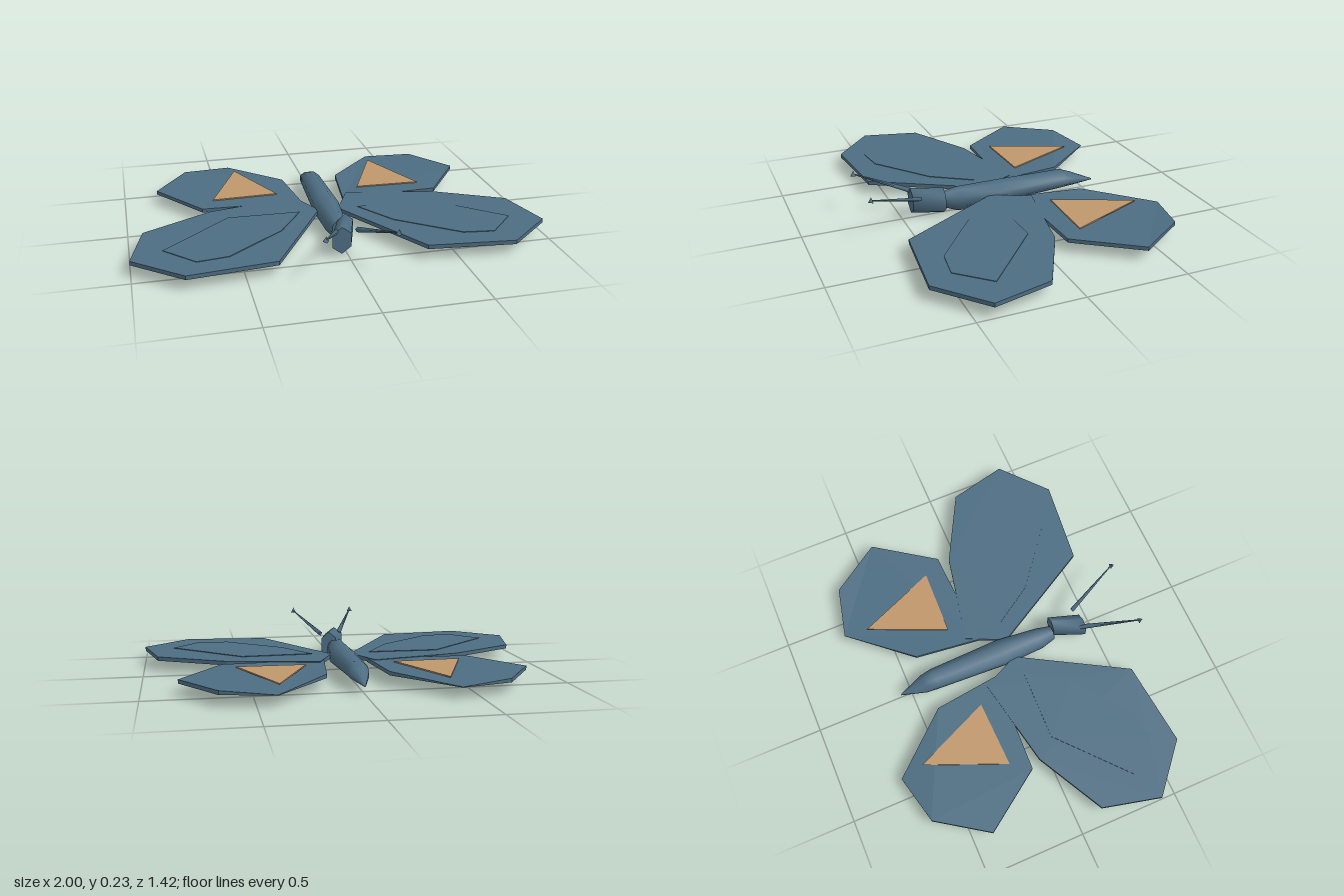
import * as THREE from 'three';

const blue = new THREE.MeshStandardMaterial({ color: 0x4d6d82 });
blue.name = 'slate blue';
const tan = new THREE.MeshStandardMaterial({ color: 0xbf966a });
tan.name = 'tan';

function add(parent, name, geometry, material) {
  const mesh = new THREE.Mesh(geometry, material);
  mesh.name = name;
  parent.add(mesh);
  return mesh;
}

// Flat plate from an [x, z] outline, mirrored by side, with its upper face at y = top
function plate(points, side, top, thickness) {
  const shape = new THREE.Shape(points.map(([x, z]) => new THREE.Vector2(x * side, z)));
  const g = new THREE.ExtrudeGeometry(shape, { depth: thickness, bevelEnabled: false });
  g.rotateX(Math.PI / 2);
  g.translate(0, top, 0);
  return g;
}

// Skin over elliptical rings [z, centreX, bottom, top, halfWidth], ordered front to back
function loft(rings, sides, turn = 0) {
  const pos = [], index = [];
  const ringPoint = ([z, cx, lo, hi, w], j) => {
    const a = turn + (j / sides) * Math.PI * 2;
    return [cx + w * Math.cos(a), (lo + hi) / 2 + ((hi - lo) / 2) * Math.sin(a), z];
  };
  rings.forEach((r) => { for (let j = 0; j < sides; j++) pos.push(...ringPoint(r, j)); });
  for (let i = 0; i < rings.length - 1; i++) {
    for (let j = 0; j < sides; j++) {
      const a = i * sides + j, b = i * sides + ((j + 1) % sides);
      index.push(a, a + sides, b, b, a + sides, b + sides);
    }
  }
  // End caps have their own corners so their rims stay sharp
  [rings[0], rings[rings.length - 1]].forEach((r, end) => {
    const start = pos.length / 3;
    for (let j = 0; j < sides; j++) pos.push(...ringPoint(r, j));
    for (let j = 1; j < sides - 1; j++) {
      index.push(start, start + j + (end ? 1 : 0), start + j + (end ? 0 : 1));
    }
  });
  const g = new THREE.BufferGeometry();
  g.setAttribute('position', new THREE.Float32BufferAttribute(pos, 3));
  g.setIndex(index);
  g.computeVertexNormals();
  return g;
}

const foreOutline = [[0.05, 0.05], [0.14, -0.14], [0.59, -0.05], [0.93, 0.13],
  [1, 0.42], [0.77, 0.62], [0.35, 0.575]];
const hindOutline = [[0.11, -0.08], [0.15, -0.41], [0.41, -0.71], [0.66, -0.65],
  [0.83, -0.4], [0.62, -0.1]];
const panelOutline = [[0.15, 0.06], [0.51, 0.05], [0.85, 0.35], [0.71, 0.5],
  [0.56, 0.48], [0.28, 0.26]];
const spotOutline = [[0.39, -0.59], [0.555, -0.195], [0.22, -0.205]];

function makeWings(side) {
  const wings = new THREE.Group();
  wings.name = side > 0 ? 'leftWings' : 'rightWings';
  add(wings, 'foreWing', plate(foreOutline, side, 0.077, 0.02), blue);
  add(wings, 'foreWingPanel', plate(panelOutline, side, 0.08, 0.003), blue);

  // The rear point of the hind wing thins to an edge
  const hind = plate(hindOutline, side, 0.074, 0.019);
  const p = hind.attributes.position;
  for (let i = 0; i < p.count; i++) if (p.getZ(i) < -0.68) p.setY(i, Math.min(p.getY(i), 0.058));
  hind.computeVertexNormals();
  add(wings, 'hindWing', hind, blue);
  add(wings, 'hindWingSpot', plate(spotOutline, side, 0.08, 0.006), tan);
  return wings;
}

function makeAntenna(side) {
  const antenna = new THREE.Group();
  antenna.name = side > 0 ? 'leftAntenna' : 'rightAntenna';
  const base = new THREE.Vector3(0.05 * side, 0.12, 0.42);
  const tip = new THREE.Vector3(0.165 * side, 0.212, 0.69);
  const dir = tip.clone().sub(base);
  const stalk = add(antenna, 'stalk', new THREE.CylinderGeometry(0.003, 0.013, dir.length(), 4), blue);
  stalk.position.copy(base).add(tip).multiplyScalar(0.5);
  stalk.quaternion.setFromUnitVectors(new THREE.Vector3(0, 1, 0), dir.normalize());
  const knob = add(antenna, 'knob', new THREE.ConeGeometry(0.016, 0.026, 3), blue);
  knob.position.set(tip.x, 0.217, 0.692);
  return antenna;
}

export function createModel() {
  const model = new THREE.Group();
  model.name = 'butterfly';

  // Long faceted body tapering to a pointed tail
  add(model, 'body', loft([
    [0.285, -0.005, 0.03, 0.11, 0.035],
    [0.21, -0.005, 0, 0.125, 0.053],
    [0, 0, 0.01, 0.125, 0.07],
    [-0.37, 0, 0.03, 0.125, 0.055],
    [-0.43, 0, 0.034, 0.102, 0.048],
    [-0.555, 0, 0.039, 0.045, 0.003],
  ], 8, Math.PI / 8), blue);

  // Six-sided head, skewed to one side
  add(model, 'head', loft([
    [0.445, -0.03, 0.015, 0.15, 0.052],
    [0.29, 0.025, 0.015, 0.15, 0.045],
  ], 6, Math.PI / 6 + Math.PI / 3), blue);

  for (const side of [1, -1]) model.add(makeWings(side), makeAntenna(side));
  return model;
}
